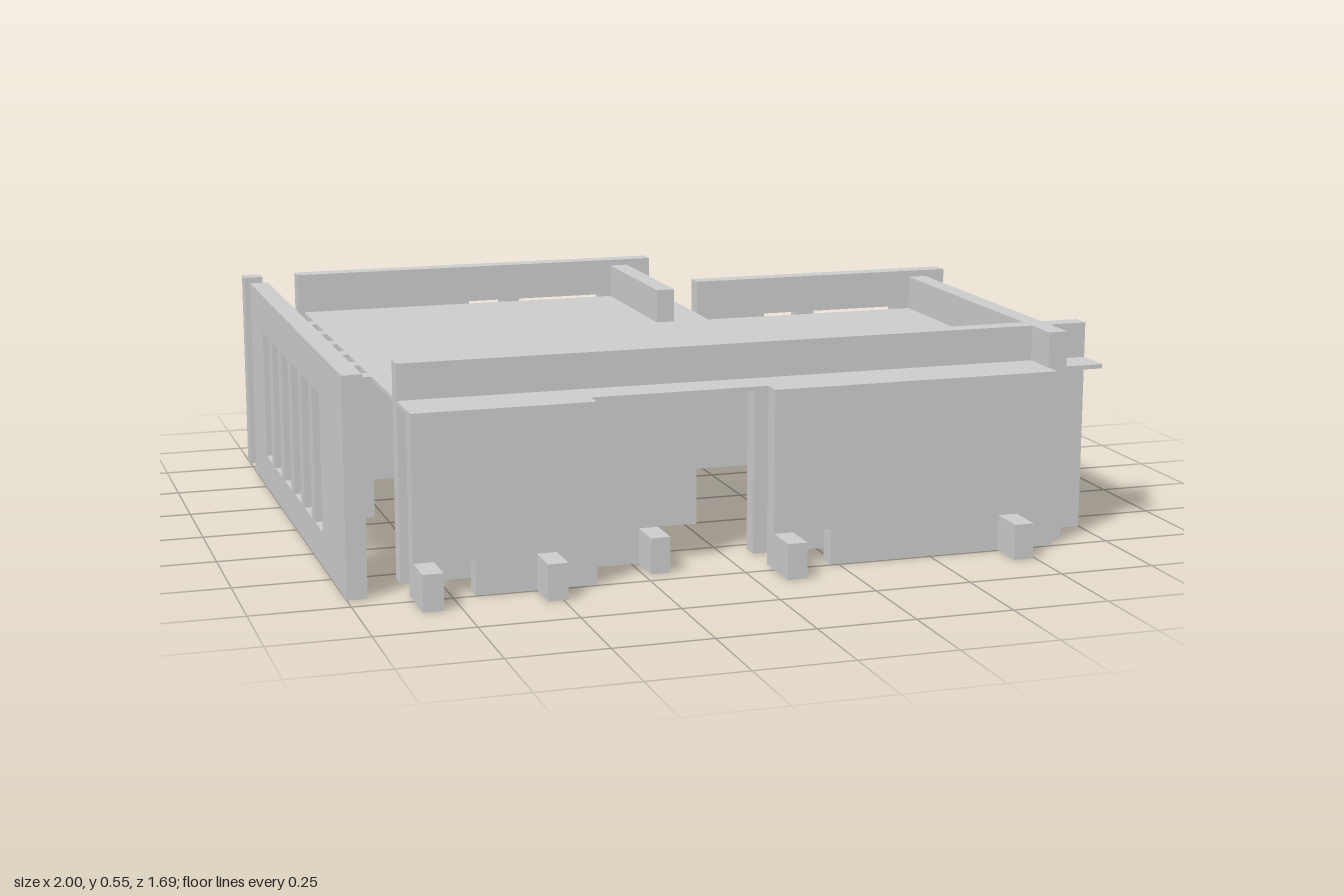
import * as THREE from 'three';

const U = 2 / 39;          // plan module = wall thickness
const H = 0.0923;          // height module
const TOP = 6 * H, DECK = 5 * H, SOFFIT = 0.45;
const X = (n) => -1 + n * U;       // n = 0..39 across
const Z = (n) => -0.846 + n * U;   // n = 0..33 front-wards

export function createModel() {
  const model = new THREE.Group();
  const mat = new THREE.MeshStandardMaterial({ color: 0xcccccc, flatShading: true });

  const add = (name, geo) => {
    const mesh = new THREE.Mesh(geo, mat);
    mesh.name = name;
    model.add(mesh);
  };

  // Box between module lines in plan, with real heights
  const block = (name, x0, x1, z0, z1, y0, y1) => {
    const geo = new THREE.BoxGeometry((x1 - x0) * U, y1 - y0, (z1 - z0) * U);
    geo.translate((X(x0) + X(x1)) / 2, (y0 + y1) / 2, (Z(z0) + Z(z1)) / 2);
    add(name, geo);
  };

  // Upright panel with window openings
  const panel = (pts, holes) => {
    const shape = new THREE.Shape(pts.map(([a, b]) => new THREE.Vector2(a, b)));
    for (const [a, b] of holes) {
      shape.holes.push(new THREE.Path([[a, H], [a, SOFFIT], [b, SOFFIT], [b, H]]
        .map(([u, v]) => new THREE.Vector2(u, v))));
    }
    return new THREE.ExtrudeGeometry(shape, { depth: U, bevelEnabled: false });
  };

  // Wall running along x, with an optional notch at one end of its foot
  const wallX = (name, x0, x1, z, h, holes = [], notch = null) => {
    const foot = [];
    if (!notch) foot.push([X(x0), 0], [X(x1), 0]);
    else if (notch[0] === x0) foot.push([X(x0), H], [X(notch[1]), H], [X(notch[1]), 0], [X(x1), 0]);
    else foot.push([X(x0), 0], [X(notch[0]), 0], [X(notch[0]), H], [X(x1), H]);
    const geo = panel([...foot, [X(x1), h], [X(x0), h]], holes.map(([a, b]) => [X(a), X(b)]));
    geo.translate(0, 0, Z(z));
    add(name, geo);
  };

  // Wall running along z
  const wallZ = (name, x, z0, z1, h, holes) => {
    const geo = panel(
      [[-Z(z1), 0], [-Z(z0), 0], [-Z(z0), h], [-Z(z1), h]],
      holes.map(([a, b]) => [-Z(b), -Z(a)]));
    geo.rotateY(Math.PI / 2);
    geo.translate(X(x), 0, 0);
    add(name, geo);
  };

  // Roof deck, an L with a shallow entrance recess at the front
  const deck = new THREE.Shape([
    [3, 3], [24, 3], [24, 12], [39, 12], [39, 30], [36, 30], [36, 31],
    [21, 31], [21, 30], [12, 30], [12, 31], [3, 31],
  ].map(([x, z]) => new THREE.Vector2(X(x), -Z(z))));
  const deckGeo = new THREE.ExtrudeGeometry(deck, { depth: DECK - SOFFIT, bevelEnabled: false });
  deckGeo.rotateX(-Math.PI / 2);
  deckGeo.translate(0, SOFFIT, 0);
  add('roofDeck', deckGeo);

  // Slotted side wall with a fin beside each slot
  const slots = [];
  for (let i = 0; i < 6; i++) {
    slots.push([7 + 3 * i, 9 + 3 * i]);
    block('sideFin', 1, 3, 6 + 3 * i, 7 + 3 * i, H, DECK);
  }
  wallZ('slottedSideWall', 0, 3, 30, TOP, slots);
  block('cornerPost', 0, 1, 0, 1, 0, TOP);

  // Opposite side wall, set in under the deck, with a fin at each end of its window
  wallZ('insetSideWall', 36, 12, 30, TOP, [[16, 18], [19, 21], [22, 24]]);
  for (const z of [15, 24]) block('outerFin', 37, 39, z, z + 1, H, SOFFIT);
  block('wingWall', 37, 39, 27, 28, 0, TOP);

  // Parapet and roof beam
  block('frontParapet', 3, 36, 27, 28, DECK, TOP);
  block('roofBeam', 21, 22, 3, 12, DECK, TOP);

  // Free-standing rear walls, each with a narrow and a wide window
  wallX('rearWall', 3, 24, 0, TOP, [[13, 15], [16, 21]]);
  block('rearLowWall', 24, 30, 0, 1, 0, H);
  wallX('rearSideWall', 24, 39, 9, TOP, [[28, 30], [31, 36]]);

  // Inner rear walls and a hanging rail
  wallX('innerRearWall', 3, 15, 6, SOFFIT, [[9, 12]]);
  block('innerRearPier', 21, 24, 3, 4, 0, SOFFIT);
  block('hangingRail', 18, 21, 3, 4, 3 * H, 4 * H);
  block('railHanger', 18, 19, 3, 4, 4 * H, SOFFIT);

  // Inner front walls beneath the parapet, with a doorway between
  wallX('innerFrontWall', 3, 18, 27, SOFFIT, [], [15, 18]);
  wallX('innerFrontWall', 21, 36, 27, SOFFIT);

  // Outer front screens, notched at the foot
  wallX('frontScreen', 3, 12, 30, DECK, [], [3, 6]);
  wallX('frontScreen', 21, 36, 30, DECK, [], [21, 24]);

  // Low front stubs and rear stubs
  for (const x of [3, 21]) block('frontStub', x, x + 1, 30, 33, 0, H);
  for (const x of [9, 33]) block('frontStub', x, x + 1, 31, 33, 0, H);
  block('entranceStub', 15, 16, 28, 30, 0, H);
  block('rearStub', 27, 28, 3, 6, 0, H);
  block('rearStub', 30, 33, 3, 4, 0, H);

  return model;
}
